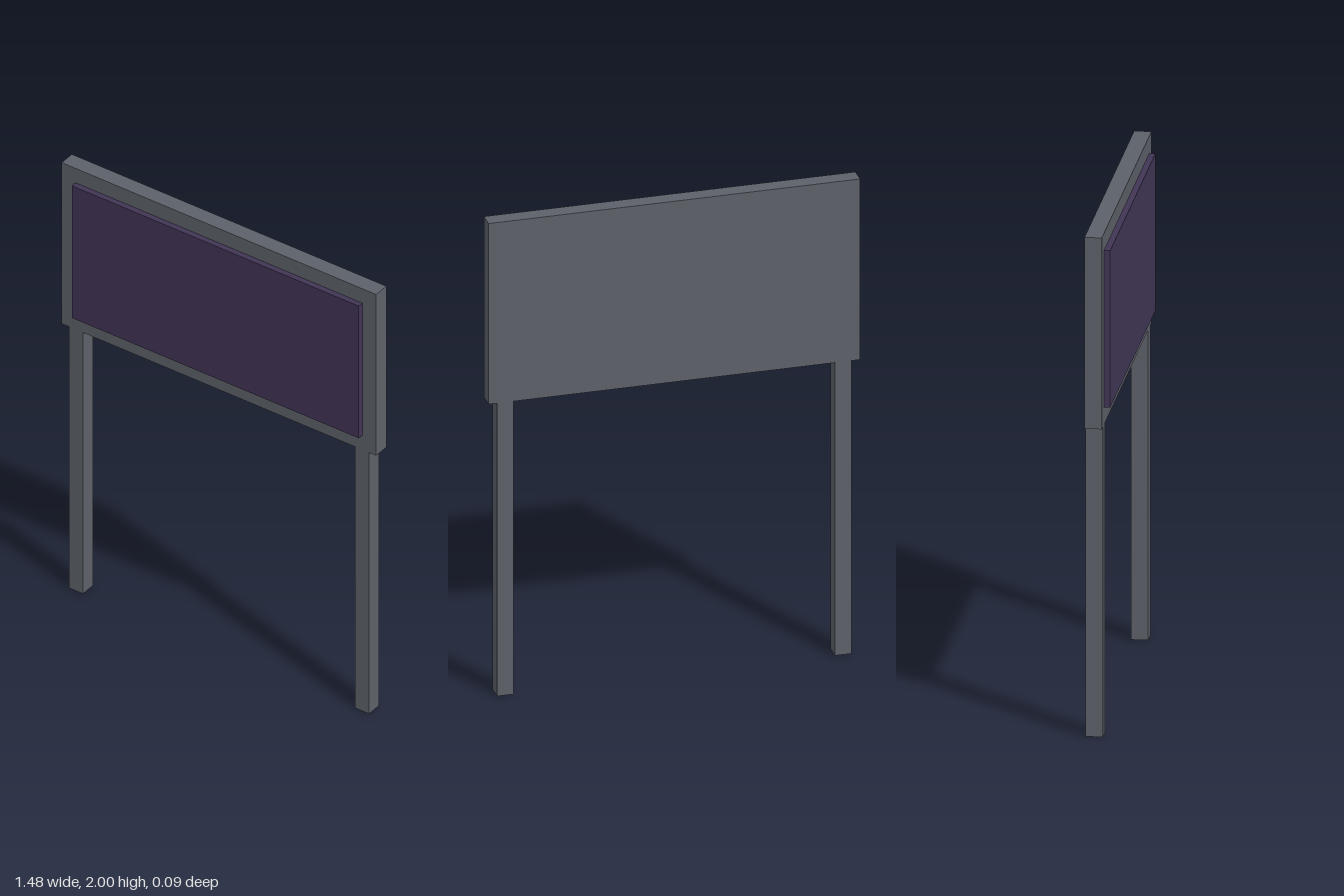
import * as THREE from 'three';

export function createModel() {
  const group = new THREE.Group();
  const metal = new THREE.MeshStandardMaterial({ color: 0x5d6169 });
  metal.name = 'greyMetal';
  const purple = new THREE.MeshStandardMaterial({ color: 0x413555 });
  purple.name = 'darkPurple';

  // Box given by its size and by the centre x, bottom y and back z
  function box(name, material, [w, h, d], [x, y, z]) {
    const mesh = new THREE.Mesh(new THREE.BoxGeometry(w, h, d), material);
    mesh.name = name;
    mesh.position.set(x, y + h / 2, z + d / 2);
    group.add(mesh);
  }

  const back = -0.046;
  const depth = 0.067;
  const boardBottom = 1.237;

  // Sign board and the raised panel on its front
  box('board', metal, [1.48, 2 - boardBottom, depth], [0, boardBottom, back]);
  box('displayPanel', purple, [1.35, 0.626, 0.024], [0, 1.306, back + depth]);

  // Two square posts under the board
  for (const side of [-1, 1]) {
    box(side > 0 ? 'leftPost' : 'rightPost', metal,
      [0.066, boardBottom, depth], [side * 0.673, 0, back]);
  }

  return group;
}
